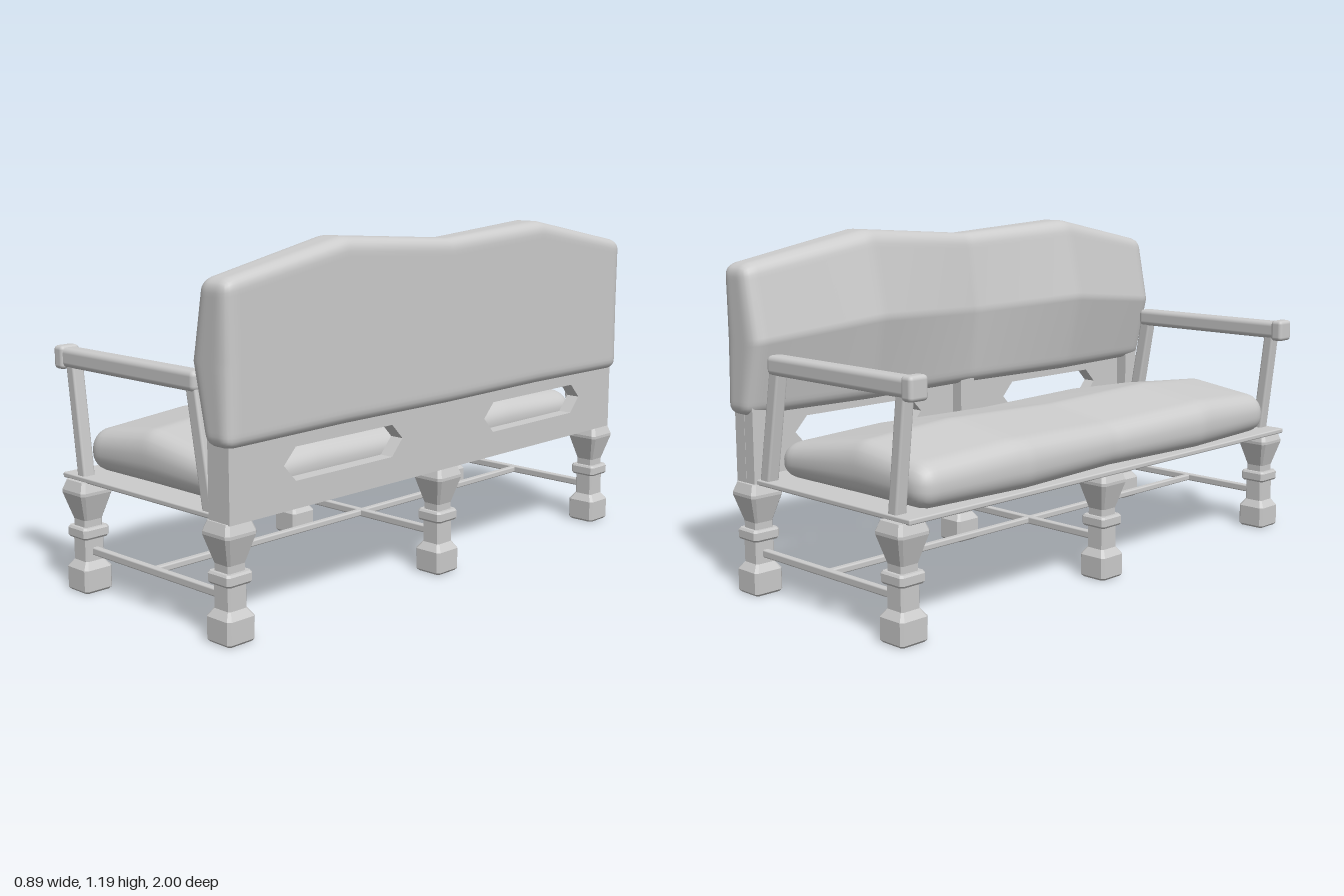
import * as THREE from 'three';
import { mergeVertices } from 'three/addons/utils/BufferGeometryUtils.js';
import { RoundedBoxGeometry } from 'three/addons/geometries/RoundedBoxGeometry.js';

const smooth = new THREE.MeshStandardMaterial({ color: 0xcccccc });
const faceted = new THREE.MeshStandardMaterial({ color: 0xcccccc, flatShading: true });

// Piecewise linear lookup through [position, value] pairs
function lerpTable(table, p) {
  if (p <= table[0][0]) return table[0][1];
  for (let i = 1; i < table.length; i++) {
    const [a, va] = table[i - 1], [b, vb] = table[i];
    if (p <= b) return va + (vb - va) * (p - a) / (b - a);
  }
  return table[table.length - 1][1];
}

// Finely divided rounded block, each vertex then moved by the rule warp(v)
function cushion(min, max, radius, divisions, warp) {
  const size = max.clone().sub(min);
  const centre = max.clone().add(min).multiplyScalar(0.5);
  const inner = size.clone().multiplyScalar(0.5).subScalar(radius);
  let geo = new THREE.BoxGeometry(size.x, size.y, size.z, ...divisions);
  geo.deleteAttribute('uv');
  geo.deleteAttribute('normal');
  geo = mergeVertices(geo);
  const pos = geo.attributes.position;
  const v = new THREE.Vector3(), core = new THREE.Vector3();
  for (let i = 0; i < pos.count; i++) {
    v.fromBufferAttribute(pos, i);
    core.copy(v).clamp(inner.clone().negate(), inner);
    v.sub(core).setLength(radius).add(core).add(centre);
    warp(v);
    pos.setXYZ(i, v.x, v.y, v.z);
  }
  geo.computeVertexNormals();
  return geo;
}

// Turned leg with a chamfered square section
function legGeometry() {
  const profile = [
    [0, 0], [0.048, 0], [0.055, 0.008], [0.055, 0.08], [0.037, 0.105], [0.037, 0.183],
    [0.046, 0.183], [0.051, 0.19], [0.051, 0.215], [0.046, 0.222], [0.035, 0.222],
    [0.035, 0.245], [0.062, 0.335], [0.062, 0.345], [0.05, 0.378], [0, 0.378],
  ].map(([r, y]) => new THREE.Vector2(r, y));
  const geo = new THREE.LatheGeometry(profile, 8, Math.PI / 8);
  const pos = geo.attributes.position;
  for (let i = 0; i < pos.count; i++) {
    const x = pos.getX(i), z = pos.getZ(i), r = Math.hypot(x, z);
    if (r < 1e-5) continue;
    const square = (c) => Math.sign(c) * (Math.abs(c) > 0.6 * r ? r : 0.82 * r);
    pos.setXYZ(i, square(x), pos.getY(i), square(z));
  }
  return geo;
}

export function createModel() {
  const model = new THREE.Group();
  model.name = 'bench';
  const add = (name, geo, material = smooth) => {
    const mesh = new THREE.Mesh(geo, material);
    mesh.name = name;
    model.add(mesh);
    return mesh;
  };
  const block = (name, x0, x1, y0, y1, z0, z1, radius) => {
    const geo = radius
      ? new RoundedBoxGeometry(x1 - x0, y1 - y0, z1 - z0, 3, radius)
      : new THREE.BoxGeometry(x1 - x0, y1 - y0, z1 - z0);
    const mesh = add(name, geo);
    mesh.position.set((x0 + x1) / 2, (y0 + y1) / 2, (z0 + z1) / 2);
    return mesh;
  };

  // Six legs and the rails joining each pair
  const leg = legGeometry();
  for (const [z, frontX] of [[0.935, -0.345], [-0.02, -0.35], [-0.94, -0.36]]) {
    add('frontLeg', leg, faceted).position.set(frontX, 0, z);
    add('backLeg', leg, faceted).position.set(0.366, 0, z);
    block('crossRail', -0.33, 0.35, 0.125, 0.151, z - 0.012, z + 0.012, 0.005);
  }
  block('longRail', -0.012, 0.012, 0.127, 0.149, -0.94, 0.935, 0.005);

  // Seat board
  block('seatBoard', -0.428, 0.4, 0.375, 0.393, -0.97, 0.97, 0.005);

  // Seat cushion: ridged top, two soft swells along its length
  const seatTop = {
    front: [[0, 0.53], [0.5, 0.548], [0.89, 0.525]],
    ridge: [[0, 0.575], [0.5, 0.594], [0.89, 0.565]],
    back: [[0, 0.51], [0.5, 0.52], [0.89, 0.505]],
  };
  const seatSwell = [[0, 0.002], [0.45, 0.035], [0.89, 0]];
  add('seatCushion', cushion(
    new THREE.Vector3(-0.4, 0.39, -0.895), new THREE.Vector3(0.315, 0.52, 0.895),
    0.06, [36, 12, 96], (v) => {
      const z = Math.abs(v.z);
      const top = lerpTable([
        [-0.4, lerpTable(seatTop.front, z)],
        [-0.09, lerpTable(seatTop.ridge, z)],
        [0.3, lerpTable(seatTop.back, z)],
      ], v.x);
      v.y = 0.39 + (v.y - 0.39) * (top - 0.39) / 0.13;
      v.x -= lerpTable(seatSwell, z) * THREE.MathUtils.clamp((0.315 - v.x) / 0.7, 0, 1);
    }));

  // Backrest: wavy top edge, flat back, bulging front
  const backTop = [[0, 1.16], [0.5, 1.193], [1, 1.095]];
  const bulge = {
    low: [[0, 0.32], [0.5, 0.285], [1, 0.33]],
    middle: [[0, 0.28], [0.5, 0.22], [1, 0.27]],
    high: [[0, 0.325], [0.5, 0.285], [1, 0.32]],
  };
  add('backrest', cushion(
    new THREE.Vector3(0.33, 0.603, -1), new THREE.Vector3(0.442, 1.1, 1),
    0.035, [12, 40, 110], (v) => {
      const z = Math.abs(v.z), t = (v.y - 0.603) / 0.497;
      const front = lerpTable([
        [0, lerpTable(bulge.low, z)],
        [0.5, lerpTable(bulge.middle, z)],
        [1, lerpTable(bulge.high, z)],
      ], t);
      v.x = 0.442 - (0.442 - v.x) * (0.442 - front) / 0.112;
      v.y = 0.603 + t * (lerpTable(backTop, z) - 0.603);
    }));

  // Back board with two long six-sided openings
  const board = new THREE.Shape();
  board.moveTo(-0.98, 0.375).lineTo(0.98, 0.375).lineTo(0.98, 0.62).lineTo(-0.98, 0.62).closePath();
  for (const [a, b] of [[0.225, 0.76], [-0.775, -0.205]]) {
    const hole = new THREE.Path();
    hole.moveTo(a, 0.518).lineTo(a + 0.05, 0.57).lineTo(b - 0.05, 0.57)
      .lineTo(b, 0.518).lineTo(b - 0.05, 0.463).lineTo(a + 0.05, 0.463).closePath();
    board.holes.push(hole);
  }
  const boardGeo = new THREE.ExtrudeGeometry(board, { depth: 0.05, bevelEnabled: false });
  boardGeo.rotateY(-Math.PI / 2).translate(0.42, 0, 0);
  add('backBoard', boardGeo);
  for (const z of [-0.945, -0.01, 0.945]) {
    block('backPost', 0.325, 0.419, 0.378, 0.65, z - 0.034, z + 0.034);
  }

  // Arms: rail, end block and two slanted posts on each side
  const slantedPost = (name, x0, y0, x1, y1, width, z) => {
    const length = Math.hypot(x1 - x0, y1 - y0);
    const mesh = add(name, new RoundedBoxGeometry(width, length, 0.045, 3, 0.008));
    mesh.position.set((x0 + x1) / 2, (y0 + y1) / 2, z);
    mesh.rotation.z = Math.atan2(x0 - x1, y1 - y0);
  };
  for (const side of [-1, 1]) {
    const z = side * 0.94;
    block('armRail', -0.42, 0.256, 0.748, 0.813, z - 0.031, z + 0.031, 0.018);
    block('armEnd', -0.448, -0.4, 0.741, 0.819, z - 0.037, z + 0.037, 0.014);
    slantedPost('frontArmPost', -0.337, 0.38, -0.383, 0.77, 0.04, z);
    slantedPost('backArmPost', 0.298, 0.38, 0.228, 0.77, 0.046, z);
  }
  return model;
}
